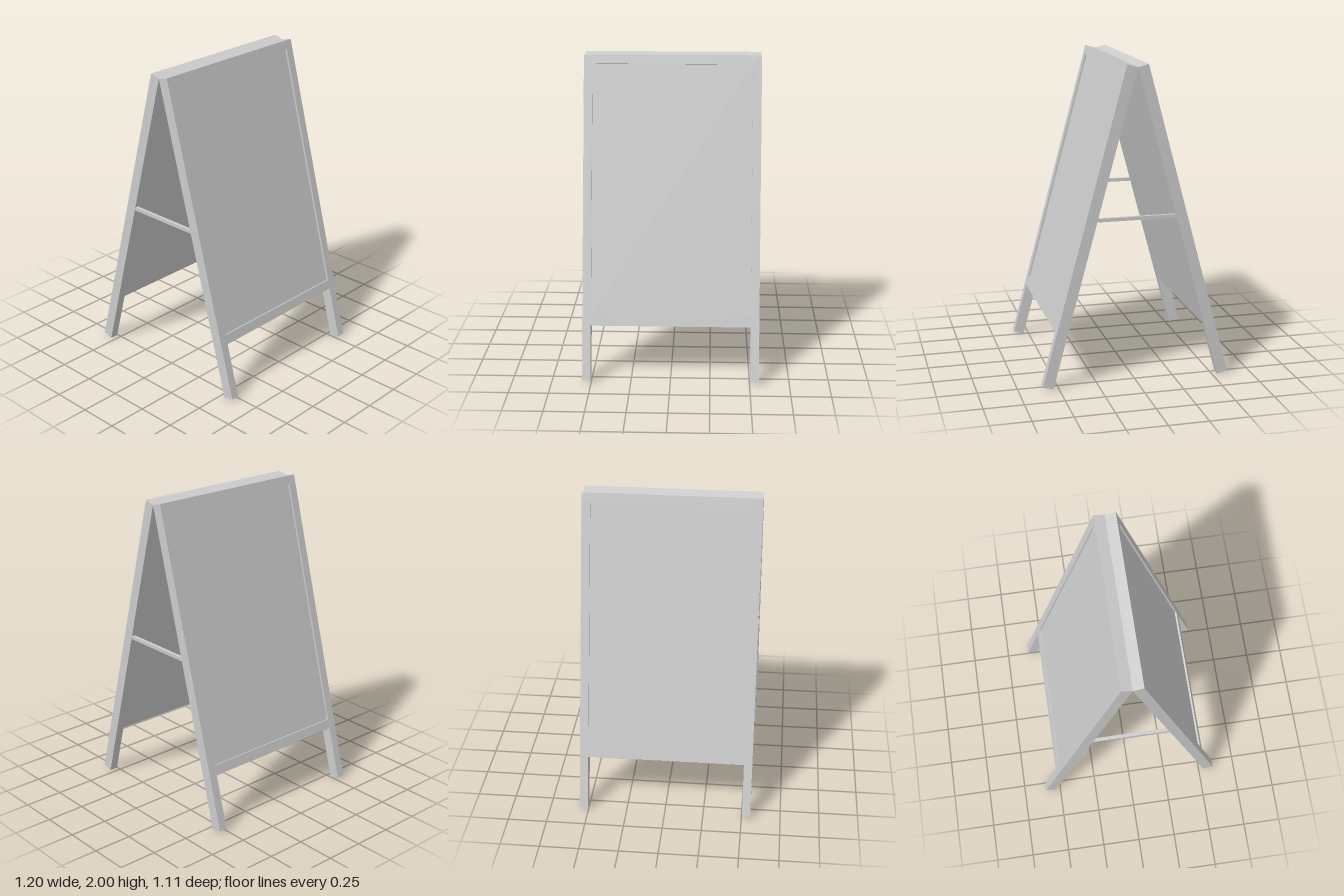
import * as THREE from 'three';

const TILT = 0.263;          // lean of each board from vertical
const THICK = 0.069;         // frame thickness
const RECESS = 0.0125;       // depth of the display face behind the frame
const LENGTH = 2.052;        // top edge to foot along the slope
const HALF = 0.557, INNER = 0.503;
const OPEN_TOP = -0.057, OPEN_BOTTOM = -1.641, RAIL_BOTTOM = -1.703;
const APEX_Y = 1.982;

const material = new THREE.MeshStandardMaterial({ color: 0xcccccc, flatShading: true });

function part(name, geometry, parent) {
  const mesh = new THREE.Mesh(geometry, material);
  mesh.name = name;
  parent.add(mesh);
  return mesh;
}

// One leaning board: its hinge edge is at the origin, its outside faces +x
function makeBoard(name) {
  const board = new THREE.Group();
  board.name = name;

  // Frame with two legs and an opening for the display panel
  const outline = new THREE.Shape([
    [-HALF, 0], [-HALF, -LENGTH], [-INNER, -LENGTH], [-INNER, RAIL_BOTTOM],
    [INNER, RAIL_BOTTOM], [INNER, -LENGTH], [HALF, -LENGTH], [HALF, 0],
  ].map(([x, y]) => new THREE.Vector2(x, y)));
  outline.holes.push(new THREE.Path([
    [-INNER, OPEN_TOP], [INNER, OPEN_TOP], [INNER, OPEN_BOTTOM], [-INNER, OPEN_BOTTOM],
  ].map(([x, y]) => new THREE.Vector2(x, y))));
  const frame = new THREE.ExtrudeGeometry(outline, { depth: THICK, bevelEnabled: false });
  part('frame', frame.rotateY(Math.PI / 2), board);

  // Display panel, flush inside and recessed outside
  const depth = THICK - RECESS;
  const panel = new THREE.BoxGeometry(depth, OPEN_TOP - OPEN_BOTTOM, INNER * 2);
  panel.translate(depth / 2, (OPEN_TOP + OPEN_BOTTOM) / 2, 0);
  part('displayPanel', panel, board);

  board.rotation.z = TILT;
  board.position.y = APEX_Y;
  return board;
}

// Spreader bar whose ends are cut to meet the sloping boards
function makeBar() {
  const bottom = 1.049, top = 1.071;
  const reach = (y) => (APEX_Y - y) * Math.tan(TILT);
  const section = new THREE.Shape([
    new THREE.Vector2(-reach(bottom), bottom), new THREE.Vector2(reach(bottom), bottom),
    new THREE.Vector2(reach(top), top), new THREE.Vector2(-reach(top), top),
  ]);
  return new THREE.ExtrudeGeometry(section, { depth: 0.022, bevelEnabled: false });
}

export function createModel() {
  const model = new THREE.Group();
  model.name = 'sandwichBoard';

  // The two boards, one turned half a circle
  model.add(makeBoard('leftBoard'));
  const turned = new THREE.Group();
  turned.name = 'rightSide';
  turned.rotation.y = Math.PI;
  turned.add(makeBoard('rightBoard'));
  model.add(turned);

  // Spreader bars at the front and back
  part('frontSpreaderBar', makeBar(), model).position.z = 0.533;
  part('backSpreaderBar', makeBar(), model).position.z = -0.555;

  return model;
}
